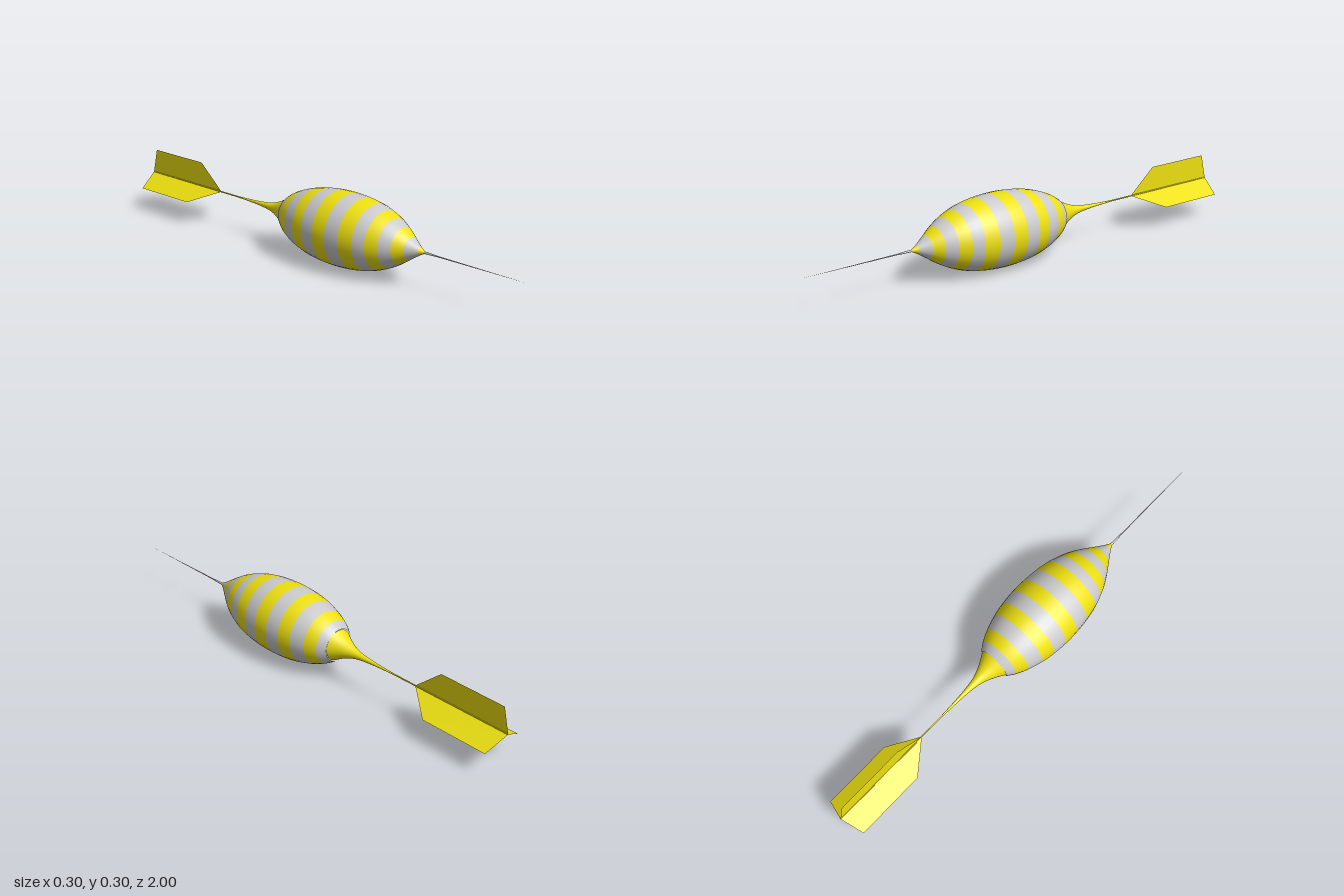
import * as THREE from 'three';

const AXIS_Y = 0.15;
const yellow = new THREE.MeshStandardMaterial({ color: 0xede010 });
const grey = new THREE.MeshStandardMaterial({ color: 0xcccccc });
const finMaterial = new THREE.MeshStandardMaterial({ color: 0xede010, side: THREE.DoubleSide });

// Turns a profile of (radius, z) points, z ascending, about the dart's long axis
function turned(name, points, material, segments = 32) {
  const geometry = new THREE.LatheGeometry(points, segments).rotateX(Math.PI / 2);
  const mesh = new THREE.Mesh(geometry, material);
  mesh.name = name;
  return mesh;
}

const toPoints = (pairs) => pairs.map(([r, z]) => new THREE.Vector2(r, z));

export function createModel() {
  const dart = new THREE.Group();
  dart.name = 'dart';
  const parts = new THREE.Group();
  parts.position.y = AXIS_Y;
  dart.add(parts);

  // Striped barrel: one band between each pair of neighbouring stations
  const stations = toPoints([
    [0.067, -0.16], [0.09, -0.127], [0.112, -0.08], [0.131, -0.02], [0.142, 0.037],
    [0.148, 0.10], [0.148, 0.164], [0.143, 0.228], [0.132, 0.29], [0.117, 0.339],
    [0.097, 0.386], [0.072, 0.43], [0.045, 0.47], [0.017, 0.513], [0.005, 0.535],
  ]);
  const curve = new THREE.SplineCurve(stations);
  const bands = stations.length - 1;
  const barrel = new THREE.Group();
  barrel.name = 'barrel';
  for (let i = 0; i < bands; i++) {
    const points = [];
    for (let k = 0; k <= 4; k++) points.push(curve.getPoint((i + k / 4) / bands));
    barrel.add(turned('stripe' + (i + 1), points, i % 2 ? yellow : grey));
  }
  parts.add(barrel);

  // Flared tail cone running into a thin shaft
  const flare = new THREE.SplineCurve(toPoints([
    [0.003, -0.45], [0.008, -0.34], [0.018, -0.26], [0.038, -0.205], [0.064, -0.158],
  ])).getPoints(16);
  parts.add(turned('tailCone', flare, yellow));
  parts.add(turned('tailRim', toPoints([[0.064, -0.158], [0.067, -0.16]]).reverse(), yellow));
  parts.add(turned('shaft', toPoints([[0, -1], [0.002, -0.999], [0.003, -0.45]]), yellow, 12));

  // Needle, tapering to a point
  parts.add(turned('needle', toPoints([[0.005, 0.52], [0.004, 0.565], [0.0025, 0.6], [0, 1]]), grey, 12));

  // Three flat flights, 120 degrees apart, one upright
  const outline = new THREE.Shape(toPoints([[0, -0.562], [0.104, -0.683], [0.104, -0.975], [0, -1]]));
  const flight = new THREE.ShapeGeometry(outline).rotateX(Math.PI / 2);
  for (let i = 0; i < 3; i++) {
    const mesh = new THREE.Mesh(flight, finMaterial);
    mesh.name = 'flight' + (i + 1);
    mesh.rotation.z = Math.PI / 2 + (i * 2 * Math.PI) / 3;
    parts.add(mesh);
  }
  return dart;
}
